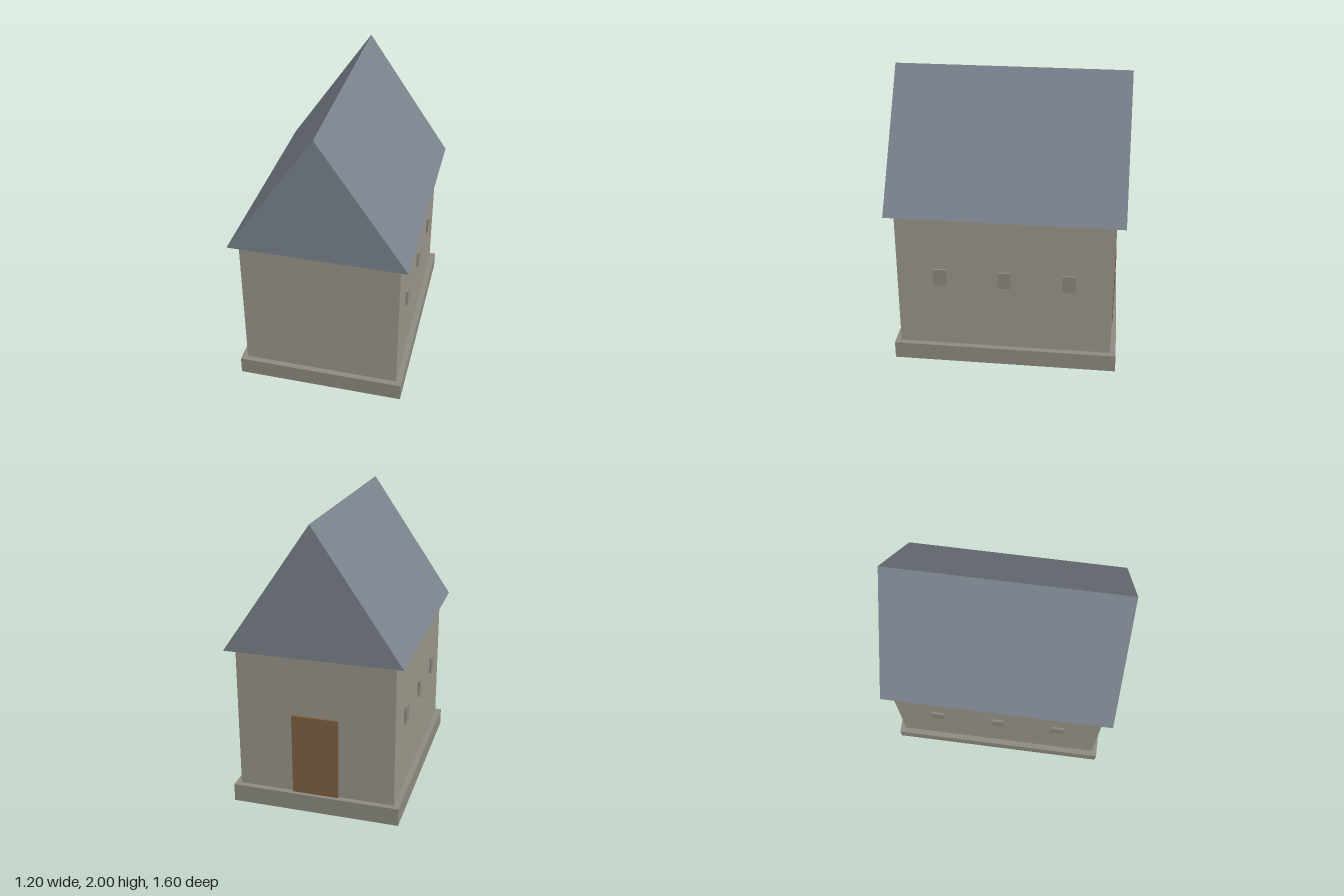
import * as THREE from 'three';

const mat = (color) => new THREE.MeshStandardMaterial({ color, flatShading: true });

export function createModel() {
  const house = new THREE.Group();
  house.name = 'house';
  const stone = mat(0x8c8a80), plaster = mat(0x989488), slate = mat(0x7b828c);
  const wood = mat(0x7d6040), shutter = mat(0x8a887e);

  const add = (name, geometry, material, x, y, z) => {
    const mesh = new THREE.Mesh(geometry, material);
    mesh.name = name;
    mesh.position.set(x, y, z);
    house.add(mesh);
  };
  const box = (name, material, w, h, d, x, y, z) =>
    add(name, new THREE.BoxGeometry(w, h, d), material, x, y + h / 2, z);

  // Plinth and walls
  box('foundation', stone, 1.16, 0.125, 1.56, 0, 0, 0);
  box('walls', plaster, 1.08, 1.0, 1.48, 0, 0.125, 0);

  // Solid gable roof with a small overhang all round
  const gable = new THREE.Shape([
    new THREE.Vector2(-0.6, 0),
    new THREE.Vector2(0.6, 0),
    new THREE.Vector2(0, 0.875),
  ]);
  const roof = new THREE.ExtrudeGeometry(gable, { depth: 1.6, bevelEnabled: false });
  add('roof', roof, slate, 0, 1.125, -0.8);

  // Door on the back wall
  box('door', wood, 0.32, 0.57, 0.03, 0, 0.125, -0.74);

  // Three small windows along each side wall
  for (const side of [-1, 1])
    for (const z of [-0.44, 0, 0.44])
      box(side > 0 ? 'leftWindow' : 'rightWindow', shutter, 0.03, 0.12, 0.09, side * 0.54, 0.605, z);

  return house;
}
